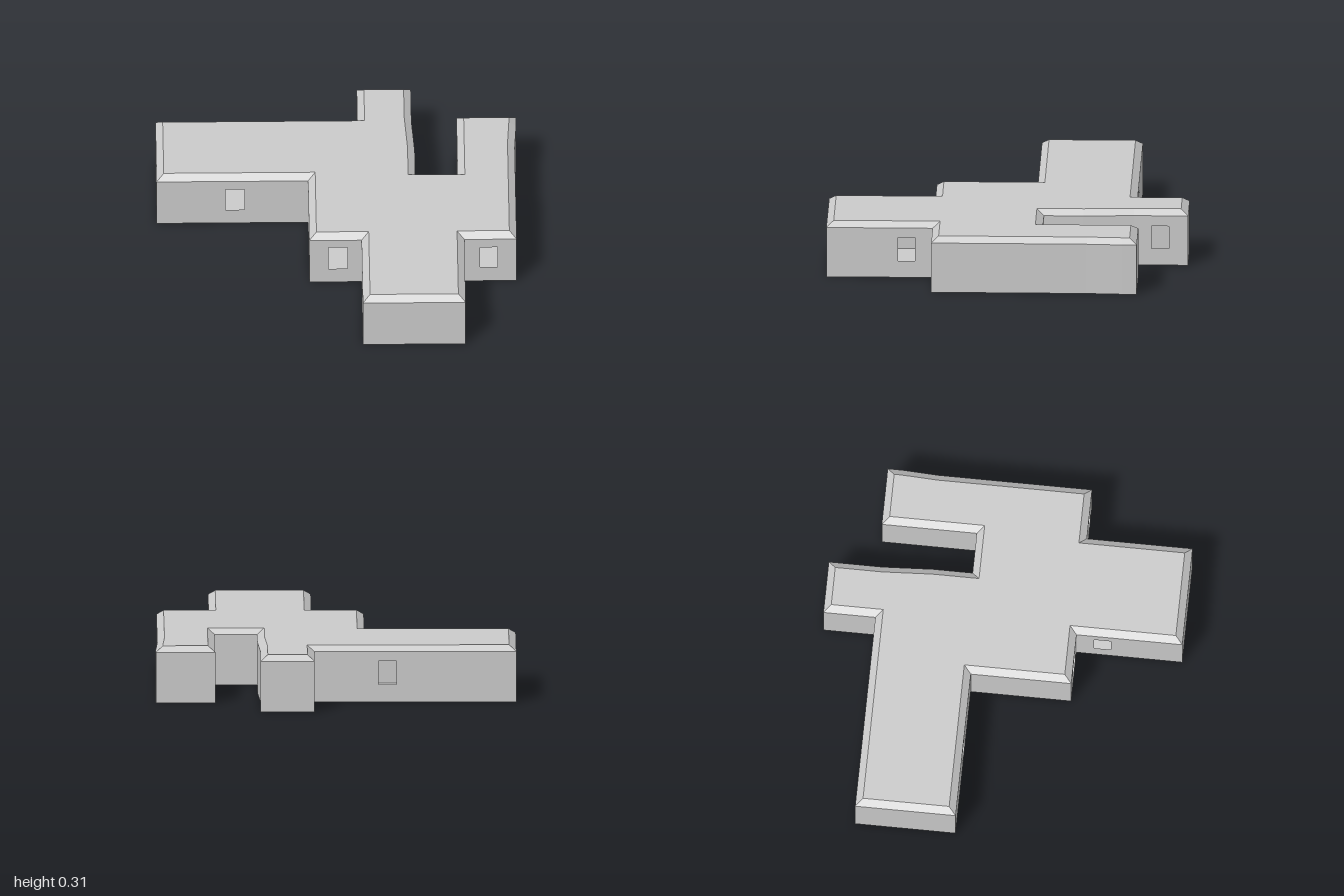
import * as THREE from 'three';

const WALL = 0.285, TOP = 0.315, INSET = 0.04;

// Footprint corners [x, z]
const plan = [
  [-1, -0.71], [0.12, -0.71], [0.12, -1], [0.42, -1], [0.42, -0.7], [0.435, -0.42],
  [0.435, -0.2], [0.67, -0.2], [0.67, -0.73], [1, -0.73], [1, -0.65], [0.99, -0.45],
  [0.99, 0.41], [0.7, 0.41], [0.7, 1], [0.13, 1], [0.13, 0.41], [-0.16, 0.41],
  [-0.16, -0.15], [-1, -0.15],
].map(([x, z]) => new THREE.Vector2(x, z));

// Window openings by wall number: centre [x, z], width, sill and head heights
const windows = {
  0: [-0.285, -0.71, 0.1, 0.1, 0.23],
  3: [0.42, -0.845, 0.095, 0.095, 0.225],
  12: [0.835, 0.41, 0.095, 0.095, 0.23],
  13: [0.7, 0.555, 0.095, 0.095, 0.23],
  15: [0.13, 0.555, 0.095, 0.095, 0.23],
  16: [0, 0.41, 0.105, 0.09, 0.235],
  18: [-0.565, -0.15, 0.105, 0.09, 0.23],
};

const rect = (T, x0, y0, x1, y1) => new T([[x0, y0], [x1, y0], [x1, y1], [x0, y1]]
  .map(([x, y]) => new THREE.Vector2(x, y)));

export function createModel() {
  const model = new THREE.Group();
  model.name = 'building';
  const material = new THREE.MeshStandardMaterial({
    color: 0xcccccc, flatShading: true, side: THREE.DoubleSide,
  });
  const add = (geometry, name) => {
    const mesh = new THREE.Mesh(geometry, material);
    mesh.name = name;
    model.add(mesh);
    return mesh;
  };

  const n = plan.length;
  const next = (i) => (i + 1) % n;
  const normals = plan.map((a, i) => {
    const d = plan[next(i)].clone().sub(a).normalize();
    return new THREE.Vector2(d.y, -d.x);
  });

  // Roof outline: footprint moved inwards with mitred corners
  const roofPlan = plan.map((p, i) => {
    const n0 = normals[(i + n - 1) % n], n1 = normals[i];
    return p.clone().addScaledVector(n0.clone().add(n1), -INSET / (1 + n0.dot(n1)));
  });

  // Thin walls with open windows
  plan.forEach((a, i) => {
    const b = plan[next(i)];
    const panel = rect(THREE.Shape, 0, 0, a.distanceTo(b), WALL);
    if (windows[i]) {
      const [x, z, width, sill, head] = windows[i];
      const s = b.distanceTo(new THREE.Vector2(x, z));
      panel.holes.push(rect(THREE.Path, s - width / 2, sill, s + width / 2, head));
    }
    const along = a.clone().sub(b).normalize();
    const geometry = new THREE.ShapeGeometry(panel);
    geometry.applyMatrix4(new THREE.Matrix4().makeBasis(
      new THREE.Vector3(along.x, 0, along.y),
      new THREE.Vector3(0, 1, 0),
      new THREE.Vector3(normals[i].x, 0, normals[i].y),
    ).setPosition(b.x, 0, b.y));
    add(geometry, windows[i] ? 'windowWall' : 'wall');
  });

  // Sloping roof edge between the walls and the flat roof
  const slope = [];
  plan.forEach((a, i) => {
    const b = plan[next(i)], c = roofPlan[next(i)], d = roofPlan[i];
    const [A, B, C, D] = [[a.x, WALL, a.y], [b.x, WALL, b.y], [c.x, TOP, c.y], [d.x, TOP, d.y]];
    slope.push(...B, ...A, ...D, ...B, ...D, ...C);
  });
  const slopeGeometry = new THREE.BufferGeometry();
  slopeGeometry.setAttribute('position', new THREE.Float32BufferAttribute(slope, 3));
  slopeGeometry.computeVertexNormals();
  add(slopeGeometry, 'roofEdge');

  // Flat roof and floor
  const roofShape = new THREE.Shape(roofPlan.map((p) => new THREE.Vector2(p.x, -p.y)));
  add(new THREE.ShapeGeometry(roofShape).rotateX(-Math.PI / 2), 'roof').position.y = TOP;
  add(new THREE.ShapeGeometry(new THREE.Shape(plan)).rotateX(Math.PI / 2), 'floor');

  return model;
}
